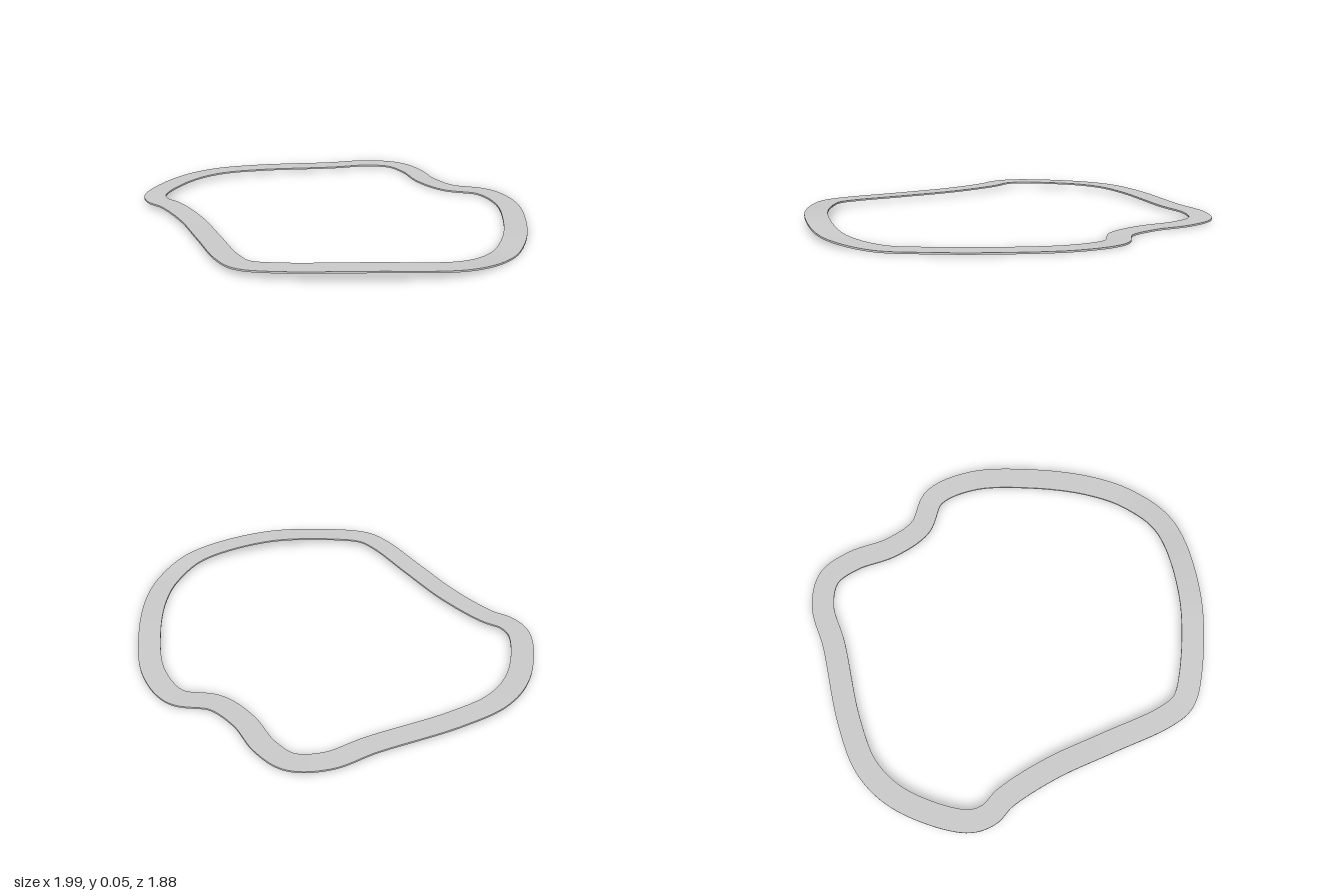
import * as THREE from 'three';

const WIDTH = 0.106, THICK = 0.008, STEPS = 320;

// Centre line of the circuit: x, height of the upper face, z
const PATH = [
  [-0.945, 0.031, 0.03], [-0.91, 0.031, -0.18], [-0.775, 0.029, -0.38], [-0.5, 0.022, -0.67],
  [-0.37, 0.019, -0.83], [-0.23, 0.016, -0.895], [-0.09, 0.013, -0.85], [0.07, 0.011, -0.735],
  [0.24, 0.010, -0.675], [0.42, 0.010, -0.71], [0.6, 0.011, -0.60], [0.775, 0.012, -0.35],
  [0.9, 0.012, -0.08], [0.943, 0.010, 0.13], [0.9, 0.027, 0.36], [0.63, 0.051, 0.65],
  [0.28, 0.037, 0.85], [0.15, 0.031, 0.883], [0.04, 0.029, 0.845], [-0.2, 0.027, 0.69],
  [-0.45, 0.027, 0.53], [-0.68, 0.029, 0.425], [-0.785, 0.03, 0.405], [-0.865, 0.031, 0.335],
];

// Sweeps a flat rectangular section round the closed path, with crisp long edges
function roadGeometry(curve) {
  const rings = [];
  for (let i = 0; i < STEPS; i++) {
    const c = curve.getPointAt(i / STEPS);
    const t = curve.getTangentAt(i / STEPS);
    const s = new THREE.Vector3(-t.z, 0, t.x).setLength(WIDTH / 2);
    const outer = c.clone().sub(s), inner = c.clone().add(s);
    const drop = new THREE.Vector3(0, -THICK, 0);
    rings.push([outer, inner, inner.clone().add(drop), outer.clone().add(drop)]);
  }
  const positions = [], index = [];
  for (let k = 0; k < 4; k++) {
    const base = k * STEPS * 2;
    rings.forEach((r, i) => {
      positions.push(...r[k].toArray(), ...r[(k + 1) % 4].toArray());
      const a = base + i * 2, b = base + ((i + 1) % STEPS) * 2;
      index.push(a, a + 1, b, a + 1, b + 1, b);
    });
  }
  const geometry = new THREE.BufferGeometry();
  geometry.setAttribute('position', new THREE.Float32BufferAttribute(positions, 3));
  geometry.setIndex(index);
  geometry.computeVertexNormals();
  return geometry;
}

export function createModel() {
  const group = new THREE.Group();
  group.name = 'circuit';
  const curve = new THREE.CatmullRomCurve3(PATH.map(p => new THREE.Vector3(...p)), true, 'centripetal');
  curve.arcLengthDivisions = 1000;
  const road = new THREE.Mesh(roadGeometry(curve), new THREE.MeshStandardMaterial({ color: 0xcccccc }));
  road.name = 'roadRibbon';
  // Rest the lowest point on the ground
  road.geometry.computeBoundingBox();
  road.position.y = -road.geometry.boundingBox.min.y;
  group.add(road);
  return group;
}
